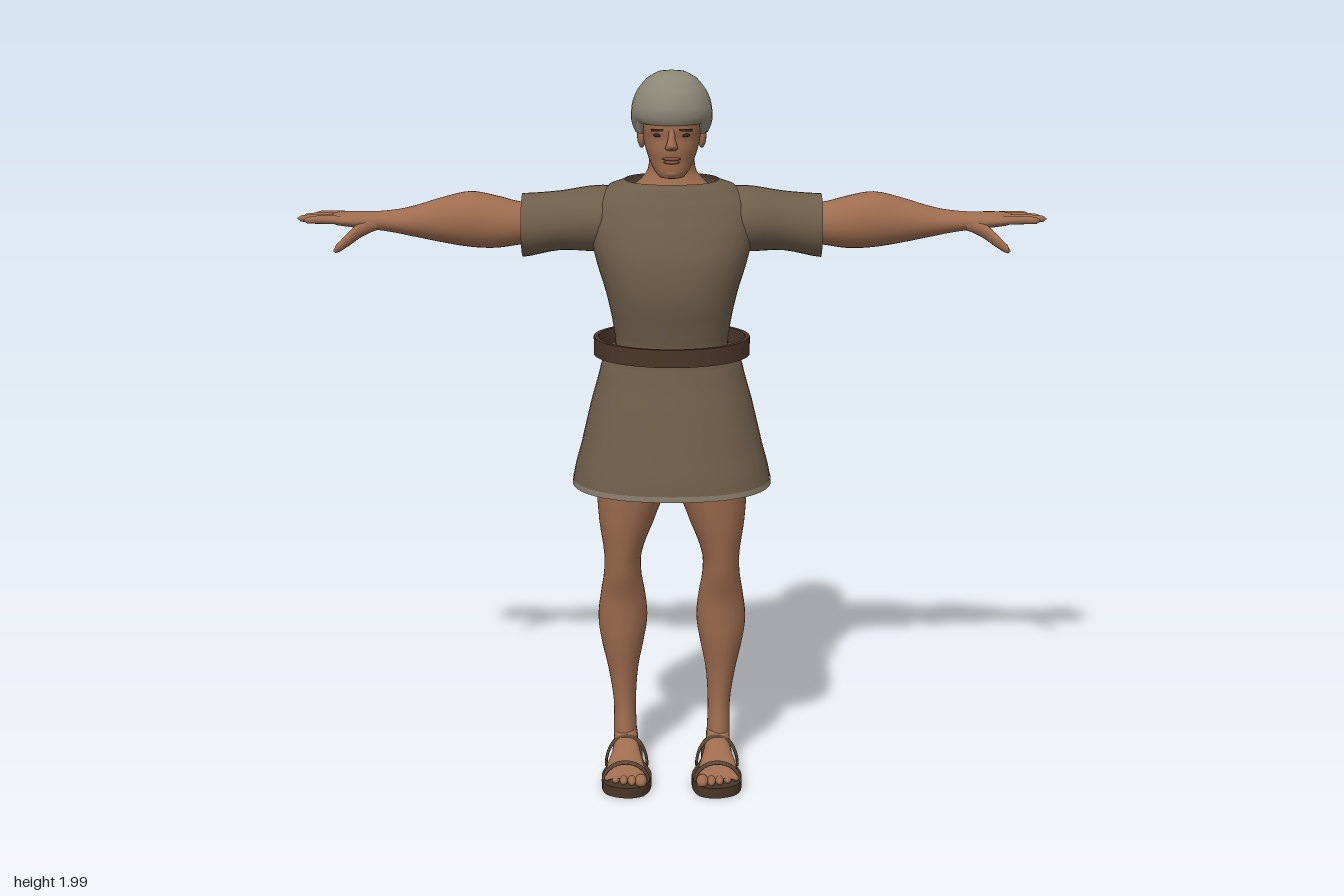
import * as THREE from 'three';
import { mergeVertices, toCreasedNormals } from 'three/addons/utils/BufferGeometryUtils.js';

const mat = (name, color, side = THREE.FrontSide) => {
  const m = new THREE.MeshStandardMaterial({ color, side });
  m.name = name;
  return m;
};

// Smooth tube through sections [t, uMin, uMax, vMin, vMax] along an axis.
// Axis x: u=y v=z; axis y: u=z v=x; axis z: u=x v=y. p squares the ring, t must increase.
function loft(axis, sections, { n = 32, steps = 4, p = 2 } = {}) {
  const k = 'xyz'.indexOf(axis), u = (k + 1) % 3, v = (k + 2) % 3;
  const at = (i) => sections[Math.min(Math.max(i, 0), sections.length - 1)];
  const pos = [], index = [];
  const total = (sections.length - 1) * steps;
  const power = (c) => Math.sign(c) * Math.abs(c) ** (2 / p);
  for (let r = 0; r <= total; r++) {
    const i = Math.min(Math.floor(r / steps), sections.length - 2), f = r / steps - i;
    const s = at(i).map((b, q) => {
      const a = at(i - 1)[q], c = at(i + 1)[q], d = at(i + 2)[q];
      if (q === 0) return b + (c - b) * f;
      const m0 = (c - a) / 2, m1 = (d - b) / 2, f2 = f * f, f3 = f2 * f;
      return (2 * f3 - 3 * f2 + 1) * b + (f3 - 2 * f2 + f) * m0 + (3 * f2 - 2 * f3) * c + (f3 - f2) * m1;
    });
    for (let j = 0; j < n; j++) {
      const a = (j / n) * Math.PI * 2, w = [0, 0, 0];
      w[k] = s[0];
      w[u] = (s[1] + s[2]) / 2 + (s[2] - s[1]) / 2 * power(Math.cos(a));
      w[v] = (s[3] + s[4]) / 2 + (s[4] - s[3]) / 2 * power(Math.sin(a));
      pos.push(...w);
      if (r < total) {
        const A = r * n + j, B = r * n + (j + 1) % n;
        index.push(A, B, A + n, B, B + n, A + n);
      }
    }
  }
  const g = new THREE.BufferGeometry();
  g.setAttribute('position', new THREE.Float32BufferAttribute(pos, 3));
  g.setIndex(index);
  g.computeVertexNormals();
  return g;
}

// Vertical loft symmetric in x: sections [y, zMin, zMax, halfWidth]
const body = (rows, opt) => loft('y', rows.map(([y, a, b, x]) => [y, a, b, -x, x]), opt);
const ball = (x, y, z, rx, ry, rz) => new THREE.SphereGeometry(1, 16, 12).scale(rx, ry, rz).translate(x, y, z);

function mirrored(geometry) {
  const g = geometry.index ? geometry.clone() : mergeVertices(geometry);
  const pos = g.attributes.position, nor = g.attributes.normal, ix = g.index;
  for (let i = 0; i < pos.count; i++) {
    pos.setX(i, -pos.getX(i));
    nor.setX(i, -nor.getX(i));
  }
  for (let i = 0; i < ix.count; i += 3) {
    const a = ix.getX(i);
    ix.setX(i, ix.getX(i + 1));
    ix.setX(i + 1, a);
  }
  return g;
}

export function createModel() {
  const model = new THREE.Group();
  model.name = 'manInTunic';
  const skin = mat('skin', 0x9e6c4e);
  const cloth = mat('tunic cloth', 0x6f5d4a, THREE.DoubleSide);
  const trim = mat('hem trim', 0x857b6a, THREE.DoubleSide);
  const leather = mat('dark leather', 0x4a3528);
  const strapMat = mat('sandal strap', 0x5c4936);
  const hairMat = mat('grey hair', 0x8c8776);
  const dark = mat('eyes and brows', 0x35261d);
  const lip = mat('lips', 0x84523f);

  const add = (name, g, m) => {
    const mesh = new THREE.Mesh(g, m);
    mesh.name = name;
    model.add(mesh);
  };
  const pair = (name, g, m) => {
    add(name + 'Left', g, m);
    add(name + 'Right', mirrored(g), m);
  };

  // Tunic
  add('tunicBody', body([
    [1.25, -0.09, 0.14, 0.15], [1.3, -0.1, 0.15, 0.155], [1.4, -0.13, 0.172, 0.175],
    [1.5, -0.15, 0.168, 0.205], [1.58, -0.155, 0.14, 0.22], [1.64, -0.15, 0.11, 0.21],
    [1.68, -0.14, 0.088, 0.165], [1.695, -0.13, 0.075, 0.125],
  ], { n: 48, p: 2.25 }), cloth);
  pair('sleeve', loft('x', [
    [0.13, 1.5, 1.672, -0.135, 0.06], [0.2, 1.5, 1.675, -0.146, 0.075],
    [0.3, 1.5, 1.658, -0.146, 0.045], [0.4, 1.48, 1.65, -0.148, 0.035],
  ]), cloth);
  add('tunicSkirt', body([
    [0.885, -0.213, 0.218, 0.268], [0.98, -0.192, 0.2, 0.245], [1.1, -0.172, 0.175, 0.217],
    [1.2, -0.15, 0.153, 0.19], [1.235, -0.13, 0.148, 0.175], [1.265, -0.092, 0.142, 0.153],
  ], { n: 48, p: 2.35 }), cloth);
  add('skirtHem', body([[0.871, -0.216, 0.221, 0.271], [0.886, -0.214, 0.219, 0.269]],
    { n: 48, steps: 1, p: 2.35 }), trim);

  // Loose belt ring
  const beltProfile = [[1, 1.227], [1, 1.275], [0.94, 1.275], [0.94, 1.227], [1, 1.227]]
    .map(([x, y]) => new THREE.Vector2(x, y));
  add('belt', toCreasedNormals(
    new THREE.LatheGeometry(beltProfile, 48).scale(0.21, 1, 0.17).translate(0, 0, 0.005), 0.7), leather);

  // Neck and head
  add('neck', body([
    [1.64, -0.12, 0.06, 0.13], [1.67, -0.115, 0.05, 0.112], [1.695, -0.108, 0.04, 0.082],
    [1.72, -0.1, 0.033, 0.064], [1.76, -0.09, 0.035, 0.059], [1.83, -0.08, 0.04, 0.058],
  ]), skin);
  add('head', body([
    [1.714, 0.075, 0.095, 0.012], [1.718, 0.045, 0.112, 0.032], [1.735, 0.0, 0.119, 0.047],
    [1.76, -0.05, 0.121, 0.06], [1.79, -0.075, 0.126, 0.07], [1.82, -0.085, 0.125, 0.076],
    [1.845, -0.088, 0.129, 0.08], [1.9, -0.085, 0.122, 0.083], [1.95, -0.05, 0.09, 0.055],
  ], { p: 2.2 }), skin);
  const hair = body([
    [1.838, -0.085, 0.118, 0.076], [1.842, -0.094, 0.129, 0.096], [1.865, -0.102, 0.136, 0.106],
    [1.9, -0.1, 0.137, 0.104], [1.935, -0.088, 0.124, 0.091], [1.965, -0.063, 0.098, 0.067],
    [1.982, -0.03, 0.062, 0.038], [1.988, 0.014, 0.016, 0.001],
  ]);
  // Hairline is higher over the face and lower at the ears and nape
  const hp = hair.attributes.position;
  for (let i = 0; i < hp.count; i++) {
    const low = Math.max(0, 1 - (hp.getY(i) - 1.838) / 0.06);
    hp.setY(i, hp.getY(i) + low * (hp.getZ(i) > 0.06 ? 0.016 : -0.014));
  }
  hair.computeVertexNormals();
  add('hair', hair, hairMat);

  // Face
  add('nose', loft('y', [
    [1.792, 0.115, 0.13, -0.01, 0.01], [1.798, 0.11, 0.147, -0.017, 0.017],
    [1.808, 0.11, 0.153, -0.014, 0.014], [1.825, 0.11, 0.142, -0.009, 0.009],
    [1.848, 0.11, 0.13, -0.009, 0.009],
  ], { n: 16 }), skin);
  add('upperLip', ball(0, 1.77, 0.119, 0.025, 0.005, 0.01), lip);
  add('lowerLip', ball(0, 1.761, 0.118, 0.021, 0.005, 0.01), lip);
  add('chin', ball(0, 1.732, 0.102, 0.024, 0.014, 0.018), skin);
  pair('ear', ball(0.079, 1.815, 0.008, 0.012, 0.032, 0.02), skin);
  pair('eye', ball(0.034, 1.831, 0.115, 0.014, 0.005, 0.007), dark);
  pair('brow', new THREE.BoxGeometry(0.034, 0.006, 0.009).rotateY(0.3).rotateZ(-0.08)
    .translate(0.036, 1.845, 0.119), dark);

  // Arms, hands and fingers
  pair('arm', loft('x', [
    [0.22, 1.52, 1.63, -0.11, 0.01], [0.4, 1.515, 1.628, -0.112, 0.01],
    [0.47, 1.505, 1.645, -0.12, 0.015], [0.54, 1.507, 1.656, -0.125, 0.014],
    [0.62, 1.52, 1.638, -0.118, 0.006], [0.7, 1.537, 1.615, -0.1, -0.003],
    [0.76, 1.55, 1.606, -0.085, -0.006], [0.8, 1.556, 1.604, -0.083, -0.002],
    [0.84, 1.562, 1.604, -0.09, 0.01], [0.89, 1.568, 1.602, -0.095, 0.006],
    [0.91, 1.575, 1.596, -0.086, -0.004], [0.915, 1.584, 1.587, -0.05, -0.04],
  ]), skin);
  [0.965, 0.99, 1.0, 0.98].forEach((tip, i) => {
    const z = -0.084 + i * 0.026, r = 0.0115;
    pair('finger' + (i + 1), loft('x', [
      [0.88, 1.587 - r, 1.587 + r, z - r, z + r], [0.94, 1.577, 1.599, z - r, z + r],
      [tip - 0.01, 1.578, 1.595, z - 0.009, z + 0.009], [tip, 1.586, 1.588, z - 0.001, z + 0.001],
    ], { n: 12, steps: 3 }), skin);
  });
  pair('thumb', loft('x', [
    [0.785, 1.558, 1.592, -0.035, -0.005], [0.83, 1.54, 1.582, -0.02, 0.016],
    [0.865, 1.518, 1.552, 0.008, 0.035], [0.89, 1.506, 1.528, 0.022, 0.042],
    [0.897, 1.51, 1.514, 0.032, 0.036],
  ], { n: 14 }), skin);

  // Legs and hips
  pair('leg', loft('y', [
    [0.07, -0.112, 0.005, 0.098, 0.165], [0.12, -0.11, 0.0, 0.1, 0.165],
    [0.2, -0.108, -0.01, 0.102, 0.165], [0.3, -0.124, -0.003, 0.095, 0.18],
    [0.4, -0.139, 0.015, 0.076, 0.201], [0.46, -0.14, 0.022, 0.069, 0.206],
    [0.53, -0.12, 0.032, 0.075, 0.198], [0.6, -0.1, 0.055, 0.085, 0.188],
    [0.66, -0.1, 0.068, 0.082, 0.188], [0.75, -0.107, 0.085, 0.05, 0.2],
    [0.87, -0.114, 0.102, 0.008, 0.206], [1.0, -0.12, 0.105, 0.0, 0.195],
  ]), skin);
  add('hips', ball(0, 1.0, -0.005, 0.185, 0.13, 0.12), skin);

  // Feet and sandals
  pair('foot', loft('z', [
    [-0.128, 0.12, 0.136, 0.045, 0.06], [-0.122, 0.106, 0.152, 0.03, 0.09],
    [-0.09, 0.098, 0.162, 0.025, 0.13], [-0.03, 0.096, 0.165, 0.025, 0.135],
    [0.02, 0.089, 0.168, 0.025, 0.108], [0.07, 0.078, 0.18, 0.025, 0.08],
    [0.12, 0.071, 0.186, 0.025, 0.058], [0.14, 0.08, 0.18, 0.028, 0.045],
  ], { p: 2.3 }), skin);
  for (let i = 0; i < 5; i++) {
    const r = i ? 0.012 : 0.017;
    pair('toe' + (i + 1), ball(i ? 0.088 + i * 0.0225 : 0.085, 0.038, 0.14 - i * i * 0.002, r, r, 0.026), skin);
  }
  const outline = [[0.165, -0.122], [0.172, -0.03], [0.196, 0.08], [0.18, 0.15], [0.125, 0.175],
    [0.078, 0.16], [0.056, 0.08], [0.083, -0.03], [0.09, -0.122], [0.127, -0.14]]
    .map(([x, z]) => new THREE.Vector3(x, z, 0));
  const soleShape = new THREE.Shape(new THREE.CatmullRomCurve3(outline, true).getPoints(40)
    .slice(0, 40).map((q) => new THREE.Vector2(q.x, q.y)));
  pair('sole', toCreasedNormals(new THREE.ExtrudeGeometry(soleShape, { depth: 0.03, bevelEnabled: false })
    .rotateX(Math.PI / 2).translate(0, 0.03, 0), 0.7), leather);
  const strap = (rx, ry, x, z) => new THREE.TorusGeometry(1, 0.07, 8, 28, Math.PI)
    .scale(rx, ry, 0.17).translate(x, 0.025, z);
  pair('toeStrap', strap(0.063, 0.056, 0.128, 0.115), strapMat);
  pair('ankleStrap', strap(0.058, 0.088, 0.128, 0.0), strapMat);

  return model;
}
